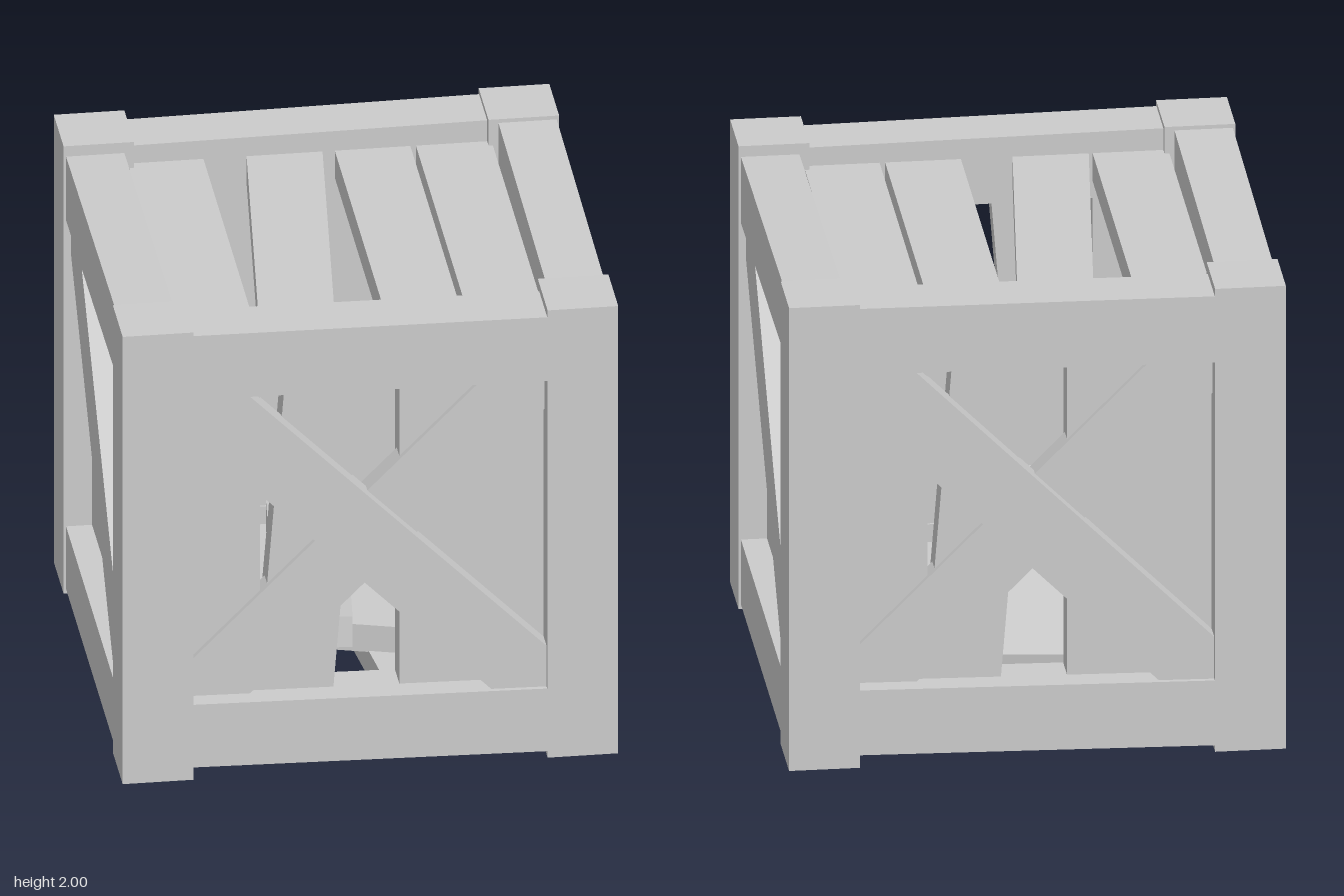
import * as THREE from 'three';

const mat = new THREE.MeshStandardMaterial({ color: 0xcccccc, flatShading: true });
const PLANK = 0.31, THICK = 0.12;

function box(parent, name, w, h, d, x, y, z, tilt = 0) {
  const m = new THREE.Mesh(new THREE.BoxGeometry(w, h, d), mat);
  m.name = name;
  m.position.set(x, y, z);
  m.rotation.z = tilt;
  parent.add(m);
  return m;
}

// Upright boards set inside a panel facing +z; each is [centre, lean]
function planks(parent, name, list, length) {
  for (const [u, lean] of list)
    box(parent, name, PLANK - 0.005, length, THICK, u, 0, 0.825, -Math.atan(lean));
}

// Wall facing +z, centred on the crate's middle
function wall(name, { boards, top, bottom, crossed }) {
  const g = new THREE.Group();
  g.name = name;
  box(g, 'topRail', 1.46, 0.285, 0.235, 0, top[0], 0.8725, top[1]);
  box(g, 'bottomRail', 1.46, 0.28, 0.235, 0, bottom[0], 0.8725, bottom[1]);
  planks(g, 'wallPlank', boards, 1.5);
  box(g, 'frontBrace', 2.1, 0.283, 0.1, 0, 0, 0.92, -Math.PI / 4);
  if (crossed) box(g, 'rearBrace', 2.1, 0.283, 0.1, 0, 0, 0.86, Math.PI / 4);
  return g;
}

export function createModel() {
  const model = new THREE.Group();
  model.name = 'crate';

  // Corner posts
  for (const x of [-1, 1])
    for (const z of [-1, 1])
      box(model, 'cornerPost', 0.285, 2, 0.285, x * 0.8575, 1, z * 0.8575);

  // Crossed walls front and back, single-braced walls left and right
  const crossWall = {
    boards: [[-0.5825, 0], [-0.232, 0.08], [0.285, 0], [0.59, 0]],
    top: [0.829, -0.01], bottom: [-0.823, -0.018], crossed: true,
  };
  const sideWall = {
    boards: [[-0.5825, 0], [-0.27, 0], [0.036, 0.014], [0.533, 0.061]],
    top: [0.826, 0.021], bottom: [-0.84, 0], crossed: false,
  };
  ['frontWall', 'rightWall', 'backWall', 'leftWall'].forEach((name, i) => {
    const g = wall(name, i % 2 ? sideWall : crossWall);
    g.position.y = 1;
    g.rotation.y = i * Math.PI / 2;
    model.add(g);
  });

  // Lid, and the same boards turned over as the floor
  for (const [name, turn] of [['lid', 0], ['floor', Math.PI]]) {
    const g = new THREE.Group();
    g.name = name;
    const panel = new THREE.Group();
    panel.name = name + 'Boards';
    panel.rotation.x = -Math.PI / 2;
    planks(panel, name + 'Plank', [[-0.5825, 0], [-0.182, 0.105], [0.2525, 0], [0.58, 0]], 1.56);
    g.add(panel);
    g.position.y = 1;
    g.rotation.z = turn;
    model.add(g);
  }

  // Loose board lying across the floor
  const flat = box(model, 'looseFlatBoard', 1.48, THICK, PLANK, -0.01, 0.29, 0.235);
  flat.rotation.y = -0.295;

  // Second loose board propped on the first, raised towards the front
  const prop = box(model, 'loosePropBoard', PLANK, 0.13, 1.5, -0.108, 0.39, 0);
  prop.rotation.order = 'YXZ';
  prop.rotation.set(-0.139, -0.113, 0);
  return model;
}
